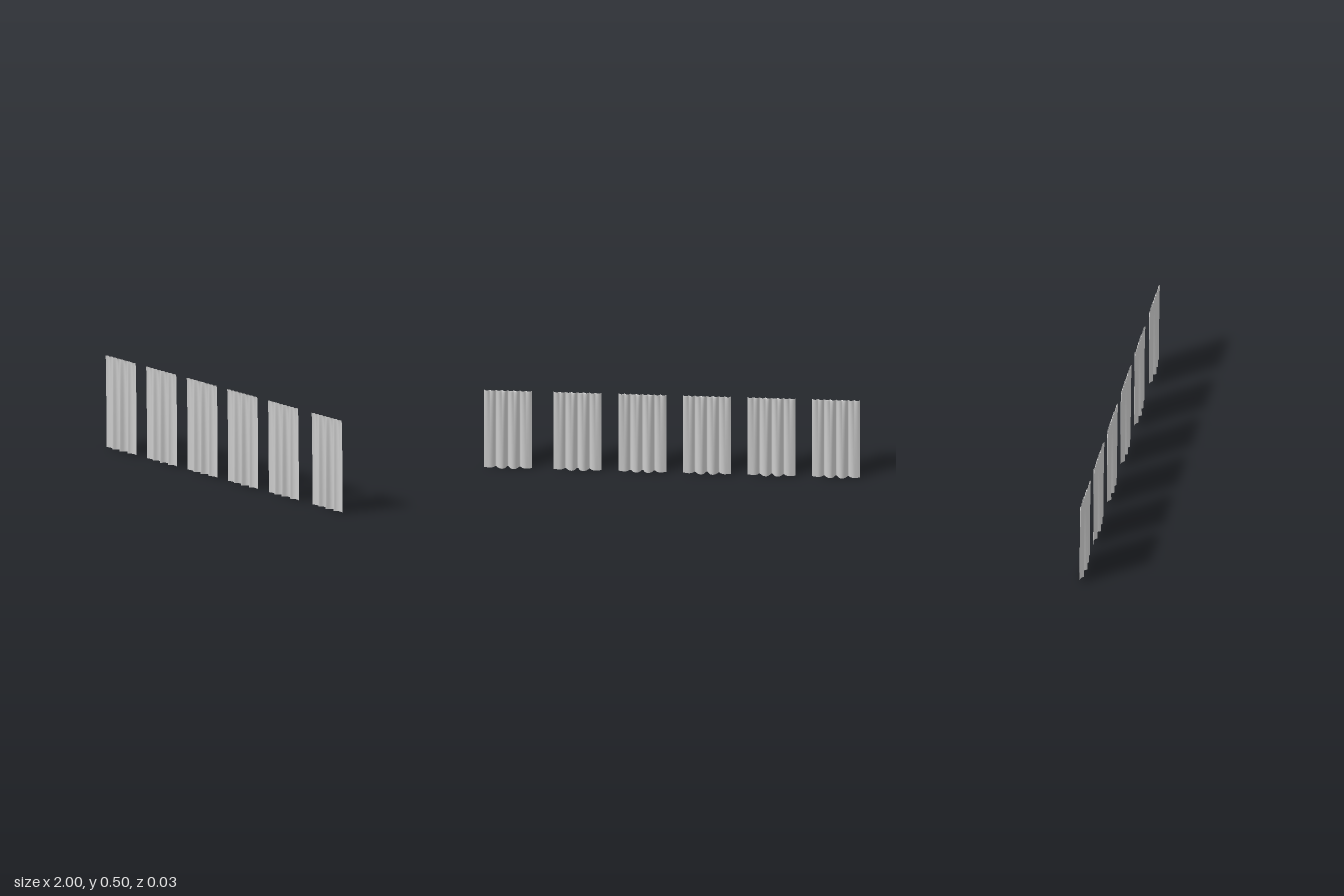
import * as THREE from 'three';

const WIDTH = 0.255, HEIGHT = 0.5;
const LEFT_EDGES = [-1, -0.657, -0.313, 0.03, 0.375, 0.745];

// Depth of the hem across the width: rounded folds to the back, narrow ones to the front
const HEM = new THREE.CatmullRomCurve3([
  [0, 0.001], [0.07, -0.003], [0.14, -0.005], [0.2, 0.001], [0.25, 0.011],
  [0.31, -0.006], [0.38, -0.013], [0.44, -0.006], [0.5, 0.015],
  [0.56, -0.006], [0.62, -0.013], [0.69, -0.006], [0.75, 0.011],
  [0.8, 0.001], [0.86, -0.005], [0.93, -0.003], [1, 0.001],
].map(([u, z]) => new THREE.Vector3(u, 0, z)));

// Tight, shallow gathers along the top
const gather = (u) => 0.009 - 0.008 * Math.abs(Math.sin(u * Math.PI * 8));

function curtainGeometry() {
  const cols = 96, rows = 24;
  const geo = new THREE.PlaneGeometry(1, 1, cols, rows);
  const pos = geo.attributes.position;
  const hem = Array.from({ length: cols + 1 }, (_, i) => HEM.getPoint(i / cols));
  for (let r = 0; r <= rows; r++) {
    const t = (r / rows) ** 2; // rows crowd towards the top, where the folds open fast
    const w = t ** 0.35;
    for (let c = 0; c <= cols; c++) {
      const { x: u, z } = hem[c];
      pos.setXYZ(r * (cols + 1) + c, (u - 0.5) * WIDTH, HEIGHT * (1 - t),
        THREE.MathUtils.lerp(gather(u), z, w));
    }
  }
  geo.computeVertexNormals();
  return geo;
}

export function createModel() {
  const model = new THREE.Group();
  model.name = 'curtains';
  const cloth = new THREE.MeshStandardMaterial({ color: 0xcccccc, side: THREE.DoubleSide });
  const geo = curtainGeometry();
  // Row of equal hanging panels
  LEFT_EDGES.forEach((x, i) => {
    const panel = new THREE.Mesh(geo, cloth);
    panel.name = `curtainPanel${i + 1}`;
    panel.position.x = x + WIDTH / 2;
    model.add(panel);
  });
  return model;
}
